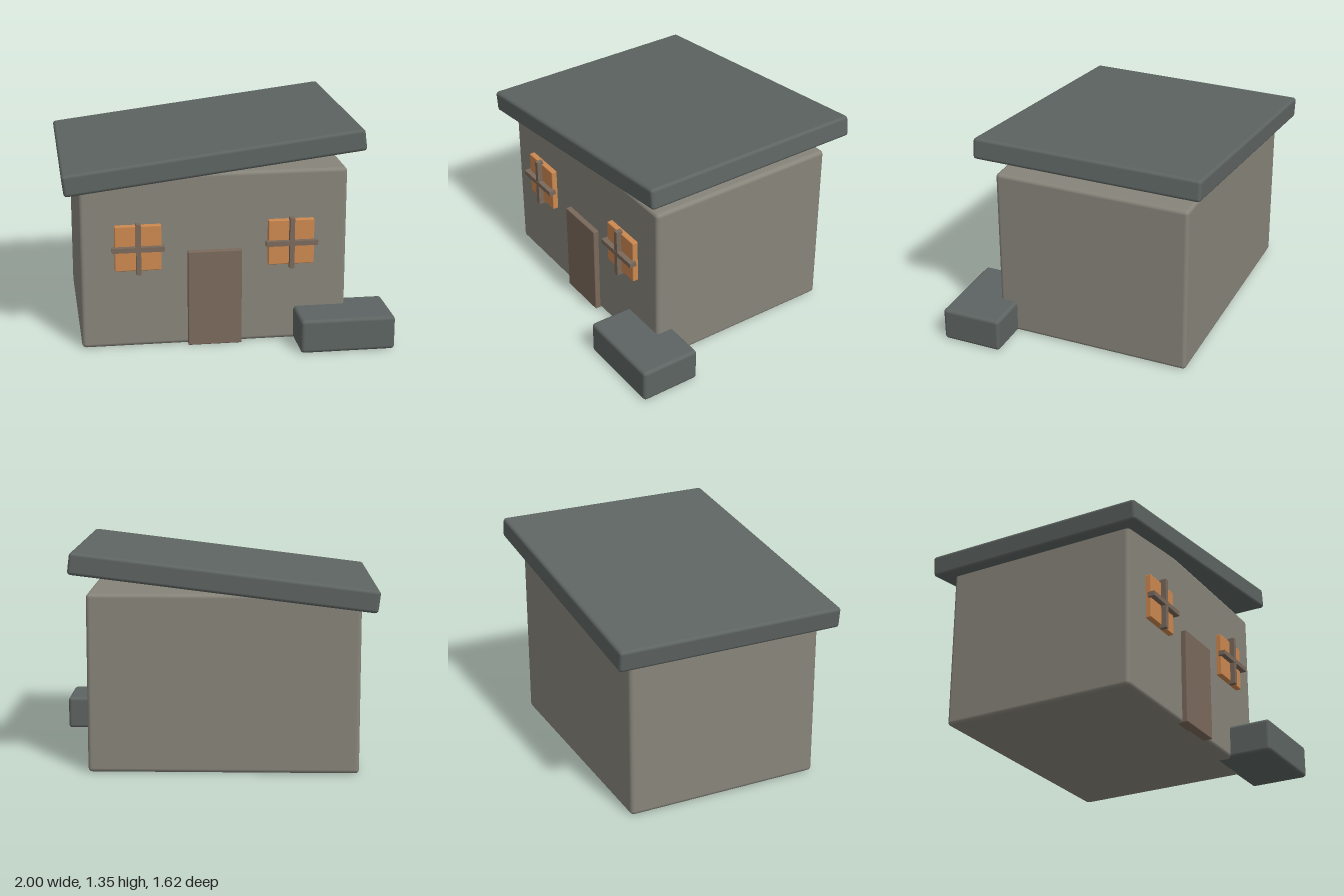
import * as THREE from 'three';
import { RoundedBoxGeometry } from 'three/addons/geometries/RoundedBoxGeometry.js';

function material(name, color) {
  const m = new THREE.MeshStandardMaterial({ color });
  m.name = name;
  return m;
}

export function createModel() {
  const plaster = material('plaster', 0x87847a);
  const slate = material('slate', 0x5d6462);
  const wood = material('wood', 0x7a695b);
  const glow = material('window glow', 0xcc8850);

  const model = new THREE.Group();
  model.name = 'hut';

  // Box given by its min and max corners; radius 0 keeps the edges sharp
  function box(name, mat, min, max, radius = 0, parent = model) {
    const size = max.map((v, i) => v - min[i]);
    const geometry = radius
      ? new RoundedBoxGeometry(...size, 2, radius)
      : new THREE.BoxGeometry(...size);
    const mesh = new THREE.Mesh(geometry, mat);
    mesh.name = name;
    mesh.position.set(...max.map((v, i) => (v + min[i]) / 2));
    parent.add(mesh);
    return mesh;
  }

  // Walls, front step and door
  box('walls', plaster, [-0.9, 0.008, -0.71], [0.74, 1.1, 0.54], 0.025);
  box('step', slate, [0.415, 0.008, 0.425], [1, 0.22, 0.81], 0.022);
  box('door', wood, [-0.247, 0.008, 0.5], [0.085, 0.615, 0.575], 0.006);

  // Single-pitch roof slab, rising towards +x
  const roof = box('roof', slate, [-1.002, 1.114, -0.812], [0.836, 1.247, 0.634], 0.02);
  roof.rotation.z = THREE.MathUtils.degToRad(7);

  // Windows: a lit pane with crossed glazing bars in front
  for (const [side, x] of [['right', -0.55], ['left', 0.39]]) {
    const win = new THREE.Group();
    win.name = side + 'Window';
    win.position.set(x, 0.652, 0);
    box('pane', glow, [-0.142, -0.142, 0.5], [0.142, 0.142, 0.575], 0.006, win);
    box('verticalBar', wood, [-0.015, -0.16, 0.563], [0.015, 0.16, 0.607], 0, win);
    box('horizontalBar', wood, [-0.16, -0.015, 0.563], [0.16, 0.015, 0.608], 0, win);
    model.add(win);
  }
  return model;
}
